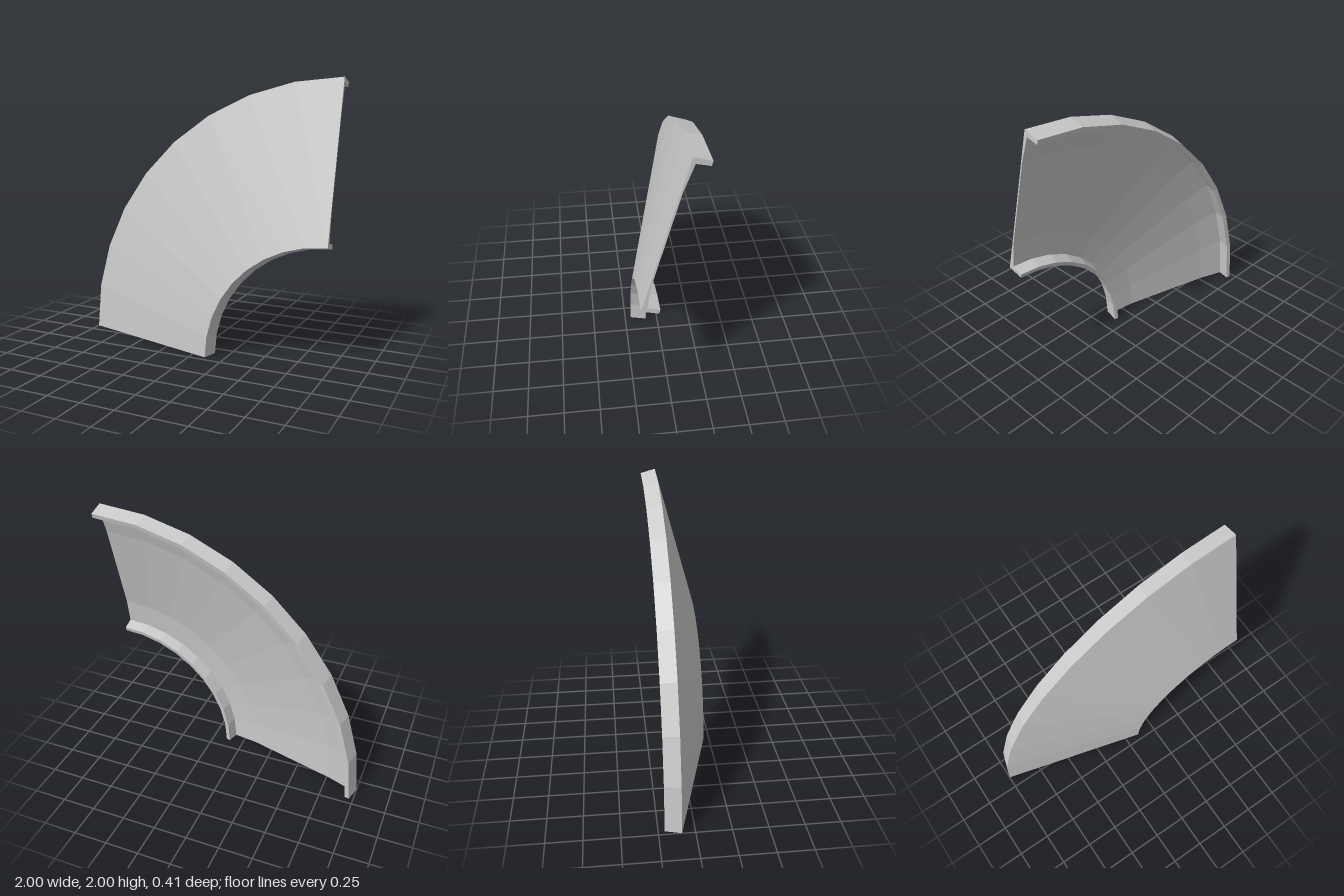
import * as THREE from 'three';

export function createModel() {
  const group = new THREE.Group();
  group.name = 'quarterRingCover';
  const material = new THREE.MeshStandardMaterial({ color: 0xcccccc, flatShading: true });

  // Cross-section as (radius, depth), counter-clockwise
  const profile = [
    [1.968, -0.206], [2, -0.092],                   // outer flange
    [0.89, 0.206],                                  // sloping front face
    [0.86, 0.09], [0.89, 0.083], [0.915, 0.165],    // inner flange
    [1.1, 0.138], [1.77, -0.041],                   // thin middle of the panel
    [1.955, -0.108], [1.935, -0.198],               // back of outer flange
  ].map(([r, z]) => new THREE.Vector2(r, z));

  const add = (name, geometry) => {
    const mesh = new THREE.Mesh(geometry, material);
    mesh.name = name;
    mesh.position.x = 1; // centre of the arc
    group.add(mesh);
  };

  // Flanged panel swept through a quarter turn
  const sweep = new THREE.LatheGeometry([...profile, profile[0]], 9, Math.PI, Math.PI / 2);
  add('flangedPanel', sweep.rotateX(Math.PI / 2));

  // Flat ends closing the section
  const axis = (x, y, z) => new THREE.Vector3(x, y, z);
  const end = (radial, normal) => new THREE.ShapeGeometry(new THREE.Shape(profile))
    .applyMatrix4(new THREE.Matrix4().makeBasis(radial, axis(0, 0, 1), normal));
  add('upperEnd', end(axis(0, 1, 0), axis(1, 0, 0)));
  const lower = end(axis(-1, 0, 0), axis(0, 1, 0));
  lower.index.array.reverse(); // face downwards
  lower.computeVertexNormals();
  add('lowerEnd', lower);

  return group;
}
